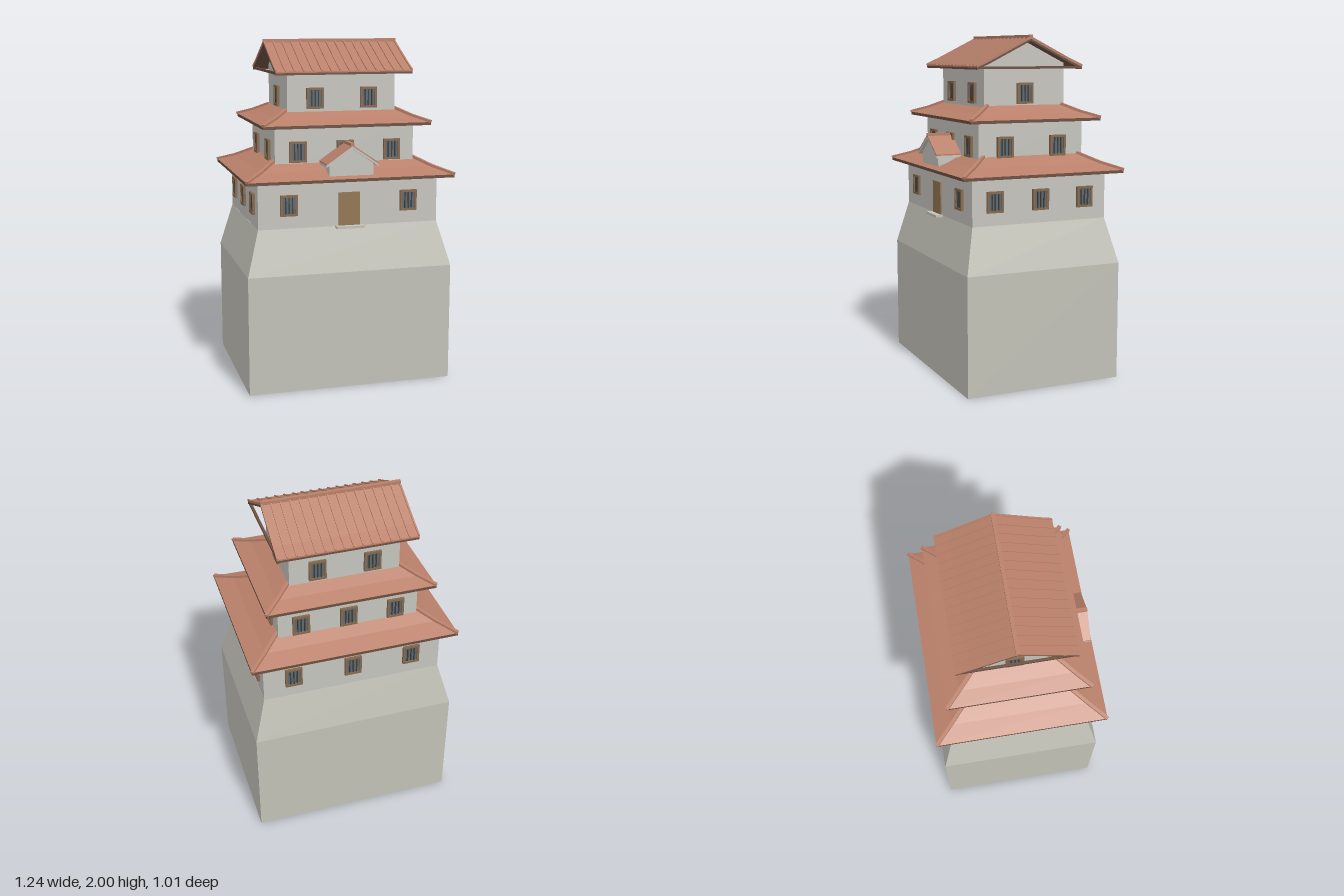
import * as THREE from 'three';

const paint = (name, color, side = THREE.FrontSide) => {
  const m = new THREE.MeshStandardMaterial({ color, side });
  m.name = name;
  return m;
};

export function createModel() {
  const stone = paint('stone', 0xc2c1b7);
  const plaster = paint('plaster', 0xc5c4be);
  const tile = paint('roof tile', 0xb9806a);
  const timber = paint('eave timber', 0x6b5040);
  const wood = paint('window wood', 0x84694e);
  const doorWood = paint('door wood', 0x927552);
  const glass = paint('window pane', 0x5a6870);
  const lattice = paint('lattice', 0x3e3a36);

  const root = new THREE.Group();
  root.name = 'castleTower';

  const add = (name, geo, mat, parent = root) => {
    const m = new THREE.Mesh(geo, mat);
    m.name = name;
    parent.add(m);
    return m;
  };
  const box = (name, mat, [w, h, d], [x, y, z], parent = root) => {
    const m = add(name, new THREE.BoxGeometry(w, h, d), mat, parent);
    m.position.set(x, y, z);
    return m;
  };
  // square-section bar between two points
  const beam = (name, mat, p, q, w, h, parent = root) => {
    const m = box(name, mat, [w, h, p.distanceTo(q)], p.clone().lerp(q, 0.5).toArray(), parent);
    m.lookAt(q);
    return m;
  };
  // flat-faced surface through rectangular rings [halfX, halfZ, y]
  const loft = (rings, capped = false) => {
    const pos = [];
    const corner = ([hx, hz, y], i) => [[hx, y, hz], [hx, y, -hz], [-hx, y, -hz], [-hx, y, hz]][i % 4];
    const quad = (a, b, c, d) => [a, b, c, a, c, d].forEach((p) => pos.push(...p));
    for (let r = 0; r < rings.length - 1; r++)
      for (let i = 0; i < 4; i++)
        quad(corner(rings[r], i), corner(rings[r], i + 1), corner(rings[r + 1], i + 1), corner(rings[r + 1], i));
    if (capped) {
      const lo = rings[0], hi = rings[rings.length - 1];
      quad(corner(lo, 3), corner(lo, 2), corner(lo, 1), corner(lo, 0));
      quad(corner(hi, 0), corner(hi, 1), corner(hi, 2), corner(hi, 3));
    }
    const g = new THREE.BufferGeometry();
    g.setAttribute('position', new THREE.Float32BufferAttribute(pos, 3));
    g.computeVertexNormals();
    return g;
  };
  // prism of a closed outline, centred along z
  const prism = (pts, depth) =>
    new THREE.ExtrudeGeometry(new THREE.Shape(pts.map((p) => new THREE.Vector2(...p))), { depth, bevelEnabled: false })
      .translate(0, 0, -depth / 2);
  // roof section: half profile from eave to ridge, mirrored, between two vertical offsets
  const chevron = (half, top, bottom, depth) => {
    const full = [...half, ...half.slice(0, -1).reverse().map(([x, y]) => [-x, y])];
    return prism([...full.map(([x, y]) => [x, y + top]), ...full.reverse().map(([x, y]) => [x, y + bottom])], depth);
  };

  // stone base with battered upper part
  add('stoneBase', loft([[0.605, 0.475, 0], [0.605, 0.475, 0.69], [0.533, 0.415, 0.95]], true), stone);

  // storeys: half width, half depth, bottom, top, window height, window offsets per side
  const storeys = [
    { hx: 0.532, hz: 0.415, y0: 0.95, y1: 1.25, wy: 1.083, front: [-0.355, 0.355], back: [-0.355, 0, 0.355], side: [-0.28, 0, 0.28] },
    { hx: 0.413, hz: 0.325, y0: 1.25, y1: 1.55, wy: 1.373, front: [-0.28, 0, 0.28], back: [-0.28, 0, 0.28], side: [-0.165, 0.165] },
    { hx: 0.322, hz: 0.252, y0: 1.55, y1: 1.845, wy: 1.67, front: [-0.16, 0.16], back: [-0.16, 0.16], side: [0] },
  ];

  // framed lattice window facing +z, turned to its wall
  const addWindow = (x, y, z, turn) => {
    const g = new THREE.Group();
    g.name = 'window';
    box('pane', glass, [0.08, 0.1, 0.008], [0, 0, 0.002], g);
    for (const s of [-1, 1]) {
      box('frameSide', wood, [0.013, 0.12, 0.022], [s * 0.0435, 0, 0.004], g);
      box('frameRail', wood, [0.1, 0.013, 0.022], [0, s * 0.0535, 0.004], g);
    }
    for (const bx of [-0.02, 0, 0.02]) box('bar', lattice, [0.007, 0.1, 0.008], [bx, 0, 0.007], g);
    g.position.set(x, y, z);
    g.rotation.y = turn;
    root.add(g);
  };

  storeys.forEach((s, i) => {
    box(`storeyWalls${i + 1}`, plaster, [2 * s.hx, s.y1 - s.y0, 2 * s.hz], [0, (s.y0 + s.y1) / 2, 0]);
    s.front.forEach((x) => addWindow(x, s.wy, s.hz, 0));
    s.back.forEach((x) => addWindow(x, s.wy, -s.hz, Math.PI));
    s.side.forEach((z) => {
      addWindow(s.hx, s.wy, z, Math.PI / 2);
      addWindow(-s.hx, s.wy, z, -Math.PI / 2);
    });
  });

  // door and step
  box('door', doorWood, [0.125, 0.195, 0.016], [0, 1.0475, 0.416]);
  box('doorStep', stone, [0.166, 0.013, 0.05], [0, 0.947, 0.435]);

  // skirt roofs with a slight upward sweep and hip ridges
  const skirt = (name, hx, hz, run, y0, y1) => {
    const g = new THREE.Group();
    g.name = name;
    root.add(g);
    const rings = [[0, 0], [0.5, 0.42], [1, 1]].map(([t, r]) => [hx - run * t, hz - run * t, y0 + (y1 - y0) * r]);
    const under = rings.map(([a, b, y]) => [a, b, y - 0.017]).reverse();
    add('tiles', loft(rings), tile, g);
    add('eaves', loft([...under, rings[0]]), timber, g);
    for (const sx of [-1, 1]) for (const sz of [-1, 1]) {
      const p = rings.map(([a, b, y]) => new THREE.Vector3(sx * a, y + 0.003, sz * b));
      for (let i = 0; i < 2; i++) beam('hipRidge', tile, p[i], p[i + 1], 0.02, 0.016, g);
    }
  };
  skirt('lowerRoof', 0.61, 0.496, 0.2, 1.233, 1.322);
  skirt('middleRoof', 0.494, 0.405, 0.17, 1.53, 1.602);

  // top gable roof, ridge along x
  const topRoof = new THREE.Group();
  topRoof.name = 'topRoof';
  topRoof.rotation.y = Math.PI / 2;
  root.add(topRoof);
  const slope = [[0.33, 1.827], [0.25, 1.862], [0, 1.986]];
  add('tiles', chevron(slope, 0, -0.008, 0.808), tile, topRoof);
  add('roofBoards', chevron(slope, -0.008, -0.02, 0.808), timber, topRoof);
  for (let i = 0; i < 16; i++)
    add('tileRib', chevron(slope, 0.007, -0.004, 0.01), tile, topRoof).position.z = -0.401 + i * 0.05347;
  box('ridgeCap', tile, [0.022, 0.022, 0.814], [0, 1.989, 0], topRoof);
  const gable = [[0.252, 1.82], [0.252, 1.843], [0, 1.97], [-0.252, 1.843], [-0.252, 1.82]];
  add('gableWall', prism(gable, 0.644), plaster, topRoof);
  for (const s of [-1, 1]) {
    box('tieBeam', timber, [0.656, 0.014, 0.014], [0, 1.817, s * 0.395], topRoof);
    box('eaveBoard', timber, [0.012, 0.016, 0.808], [s * 0.323, 1.816, 0], topRoof);
  }

  // small gabled dormer over the door
  const dormer = new THREE.Group();
  dormer.name = 'dormer';
  root.add(dormer);
  const dSlope = [[0.152, 1.32], [0, 1.424]];
  add('dormerWall', prism([[0.13, 1.245], [0.13, 1.315], [0, 1.405], [-0.13, 1.315], [-0.13, 1.245]], 0.16), plaster, dormer).position.z = 0.38;
  add('dormerTiles', chevron(dSlope, 0, -0.008, 0.165), tile, dormer).position.z = 0.3975;
  add('dormerBoards', chevron(dSlope, -0.008, -0.022, 0.165), plaster, dormer).position.z = 0.3975;
  box('dormerRidge', tile, [0.022, 0.016, 0.165], [0, 1.424, 0.3975], dormer);

  return root;
}
